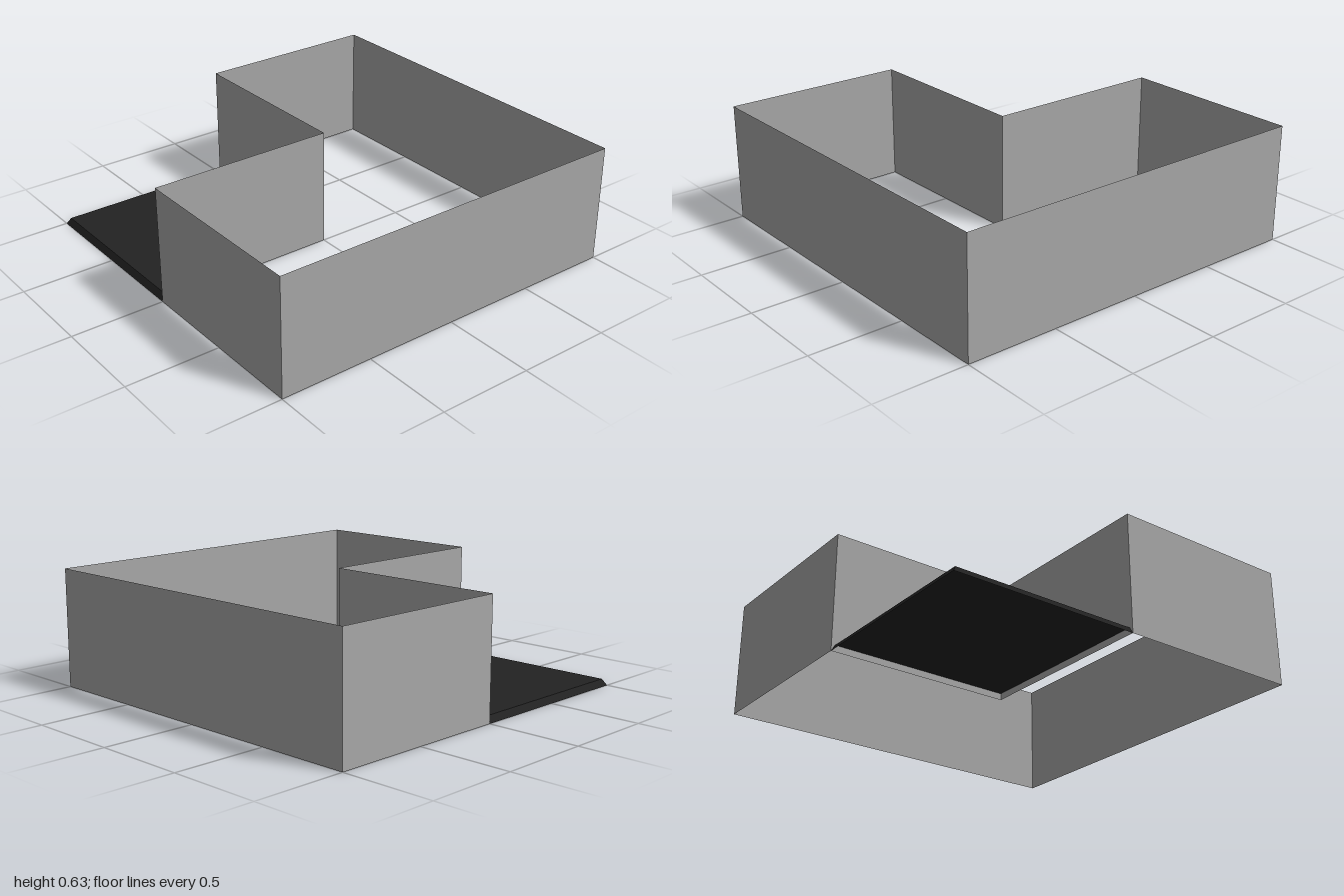
import * as THREE from 'three';

const gray = new THREE.MeshStandardMaterial({ color: 0xa8a8a8, side: THREE.DoubleSide });
gray.name = 'wall gray';
const black = new THREE.MeshStandardMaterial({ color: 0x222222, side: THREE.DoubleSide });
black.name = 'porch black';

// Flat four-cornered sheet, corners counter-clockwise seen from its front
function quad(name, material, a, b, c, d) {
  const geometry = new THREE.BufferGeometry();
  geometry.setAttribute('position', new THREE.Float32BufferAttribute([a, b, c, a, c, d].flat(), 3));
  geometry.computeVertexNormals();
  const mesh = new THREE.Mesh(geometry, material);
  mesh.name = name;
  return mesh;
}

export function createModel() {
  const model = new THREE.Group();
  model.name = 'cornerBuilding';

  // L-shaped ring of thin walls, open above and below
  const height = 0.63;
  const plan = [[-1, 1], [1, 1], [1, -1], [0, -1], [0, 0], [-1, 0]];
  const walls = new THREE.Group();
  walls.name = 'walls';
  plan.forEach(([x0, z0], i) => {
    const [x1, z1] = plan[(i + 1) % plan.length];
    walls.add(quad('wall' + (i + 1), gray,
      [x0, 0, z0], [x1, 0, z1], [x1, height, z1], [x0, height, z0]));
  });

  // Low deck in the notch, with sloping edges on its two open sides
  const y = 0.035, e = -0.98;
  const deck = new THREE.Group();
  deck.name = 'deck';
  deck.add(
    quad('deckTop', black, [e, y, 0], [0, y, 0], [0, y, e], [e, y, e]),
    quad('deckSideEdge', black, [-1, 0, -1], [-1, 0, 0], [e, y, 0], [e, y, e]),
    quad('deckBackEdge', black, [0, 0, -1], [-1, 0, -1], [e, y, e], [0, y, e]),
  );

  model.add(walls, deck);
  return model;
}
